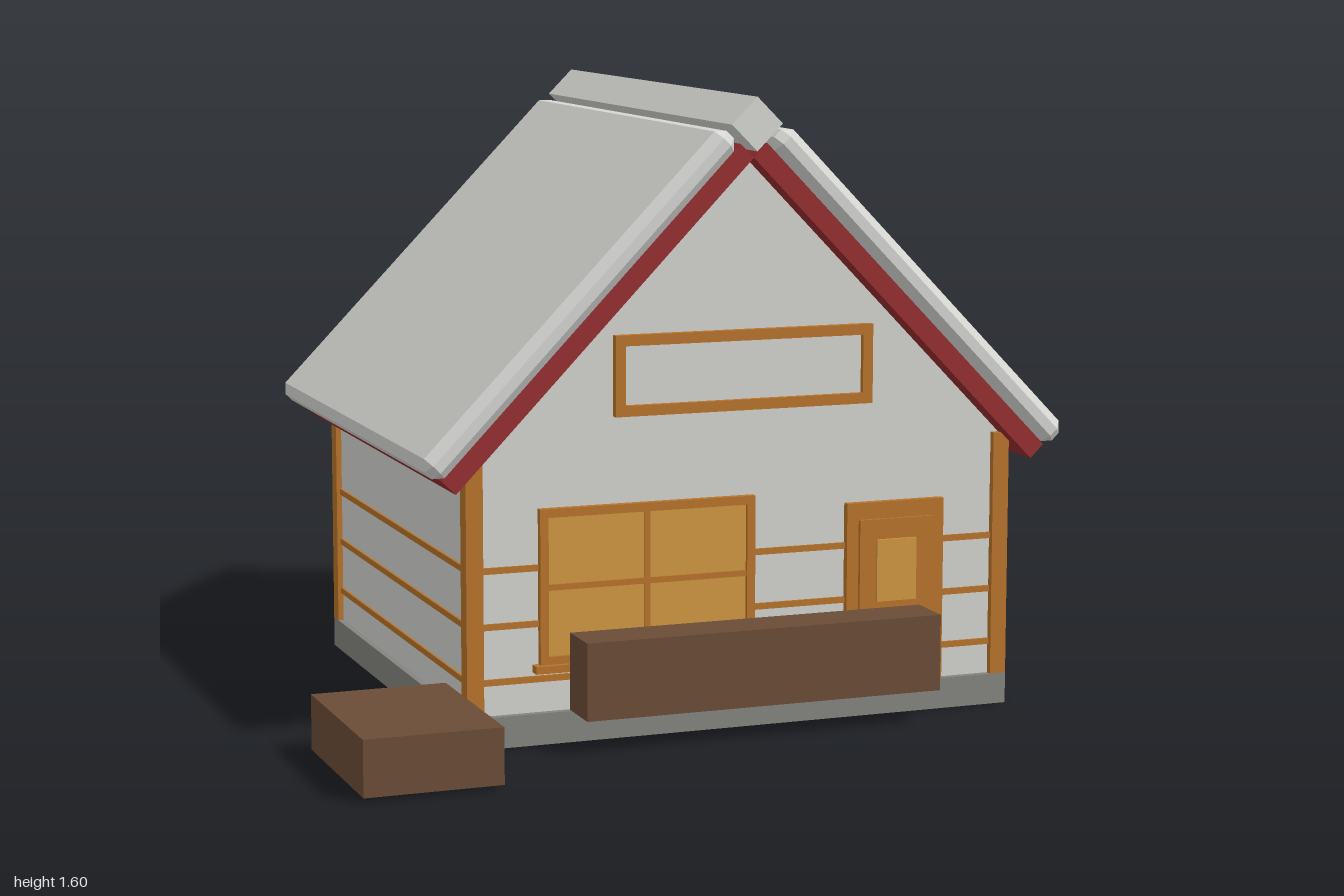
import * as THREE from 'three';
import { ConvexGeometry } from 'three/addons/geometries/ConvexGeometry.js';

const mat = (name, color) => {
  const m = new THREE.MeshStandardMaterial({ color });
  m.name = name;
  return m;
};

// Box whose twelve edges are all cut by the same chamfer c
function chamferBox(w, h, d, c) {
  const pts = [];
  for (const i of [-1, 1]) for (const j of [-1, 1]) for (const k of [-1, 1]) {
    const x = i * w / 2, y = j * h / 2, z = k * d / 2;
    pts.push(new THREE.Vector3(x, y - j * c, z - k * c));
    pts.push(new THREE.Vector3(x - i * c, y, z - k * c));
    pts.push(new THREE.Vector3(x - i * c, y - j * c, z));
  }
  return new ConvexGeometry(pts);
}

export function createModel() {
  const model = new THREE.Group();
  model.name = 'cottage';
  const plaster = mat('plaster', 0xd3d3d0);
  const slate = mat('paleRoof', 0xd6d6d3);
  const concrete = mat('concrete', 0x84847f);
  const wood = mat('wood', 0xb8742a);
  const amber = mat('amberPane', 0xd09841);
  const brown = mat('brownWood', 0x6b4c36);
  const red = mat('redTrim', 0x962c2e);

  const add = (name, geo, material, x = 0, y = 0, z = 0, parent = model) => {
    const mesh = new THREE.Mesh(geo, material);
    mesh.name = name;
    mesh.position.set(x, y, z);
    parent.add(mesh);
    return mesh;
  };
  // Box given by its limits on each axis
  const box = (name, material, x0, x1, y0, y1, z0, z1, parent = model) =>
    add(name, new THREE.BoxGeometry(x1 - x0, y1 - y0, z1 - z0), material,
      (x0 + x1) / 2, (y0 + y1) / 2, (z0 + z1) / 2, parent);
  // Four-sided frame on the front wall
  const frame = (name, x0, x1, y0, y1, t, z1) => {
    const s = new THREE.Shape();
    s.moveTo(x0, y0).lineTo(x1, y0).lineTo(x1, y1).lineTo(x0, y1).closePath();
    const h = new THREE.Path();
    h.moveTo(x0 + t, y0 + t).lineTo(x0 + t, y1 - t).lineTo(x1 - t, y1 - t).lineTo(x1 - t, y0 + t).closePath();
    s.holes.push(h);
    add(name, new THREE.ExtrudeGeometry(s, { depth: z1 - 0.46, bevelEnabled: false }), wood, 0, 0, 0.46);
  };

  const cx = 0.1, cz = -0.145, apex = 1.449, pitch = THREE.MathUtils.degToRad(45.8);
  const hx = 0.735, hz = 0.63;      // half size of the footing
  const wx = 0.72, wz = 0.612;      // half size of the walls

  // Footing and gabled walls
  box('footing', concrete, cx - hx, cx + hx, 0, 0.08, cz - hz, cz + hz);
  const eave = apex - wx * Math.tan(pitch);
  const gable = new THREE.Shape();
  gable.moveTo(-wx, 0.08).lineTo(wx, 0.08).lineTo(wx, eave).lineTo(0, apex).lineTo(-wx, eave).closePath();
  add('walls', new THREE.ExtrudeGeometry(gable, { depth: wz * 2, bevelEnabled: false }), plaster, cx, 0, cz - wz);

  // Corner posts
  for (const sx of [-1, 1]) for (const sz of [-1, 1])
    add('cornerPost', new THREE.BoxGeometry(0.044, 0.637, 0.046), wood,
      cx + sx * (hx - 0.022), 0.3985, cz + sz * (hz - 0.023));

  // Horizontal battens round all four walls
  for (const y of [0.165, 0.305, 0.446])
    add('battens', new THREE.BoxGeometry(wx * 2 + 0.012, 0.016, wz * 2 + 0.012), wood, cx, y, cz);

  // Two roof slopes, each a red board under a chamfered slab
  for (const s of [-1, 1]) {
    const slope = new THREE.Group();
    slope.name = s > 0 ? 'leftRoof' : 'rightRoof';
    slope.position.set(cx, apex, cz);
    slope.rotation.z = -s * pitch;
    add('roofBoard', new THREE.BoxGeometry(1.11, 0.05, 1.355), red, s * 0.555, 0.025, 0, slope);
    add('roofSlab', chamferBox(1.12, 0.072, 1.4, 0.023), slate, s * 0.562, 0.086, 0, slope);
    model.add(slope);
  }
  const ridge = add('ridgeBeam', new THREE.BoxGeometry(0.095, 0.095, 1.4), slate, cx, 1.533, cz);
  ridge.rotation.z = Math.PI / 4;

  // Large window with four panes and a sill
  frame('windowFrame', -0.444, 0.128, 0.2, 0.594, 0.022, 0.486);
  box('windowPane', amber, -0.43, 0.115, 0.21, 0.58, 0.467, 0.476);
  box('windowMullion', wood, -0.168, -0.153, 0.21, 0.58, 0.468, 0.481);
  box('windowCrossbar', wood, -0.43, 0.115, 0.388, 0.403, 0.468, 0.481);
  box('windowSill', wood, -0.46, 0.144, 0.183, 0.202, 0.46, 0.5);

  // Gable window
  frame('gableWindowFrame', -0.246, 0.447, 0.813, 1.016, 0.027, 0.487);
  box('gableWindowPane', plaster, -0.23, 0.43, 0.83, 1.0, 0.467, 0.472);

  // Door, stepped outwards in three layers
  box('doorFrame', wood, 0.38, 0.65, 0.08, 0.556, 0.46, 0.487);
  box('door', wood, 0.412, 0.618, 0.08, 0.513, 0.48, 0.497);
  box('doorPane', amber, 0.457, 0.567, 0.3, 0.461, 0.496, 0.504);

  // Planter, side crate and stone step
  box('planter', brown, -0.374, 0.576, 0.088, 0.284, 0.505, 0.635);
  box('crate', brown, -1, -0.655, 0.01, 0.15, 0.37, 0.845);
  add('stoneStep', chamferBox(0.3, 0.085, 0.278, 0.026), slate, 0.85, 0.0465, 0.025);

  return model;
}
